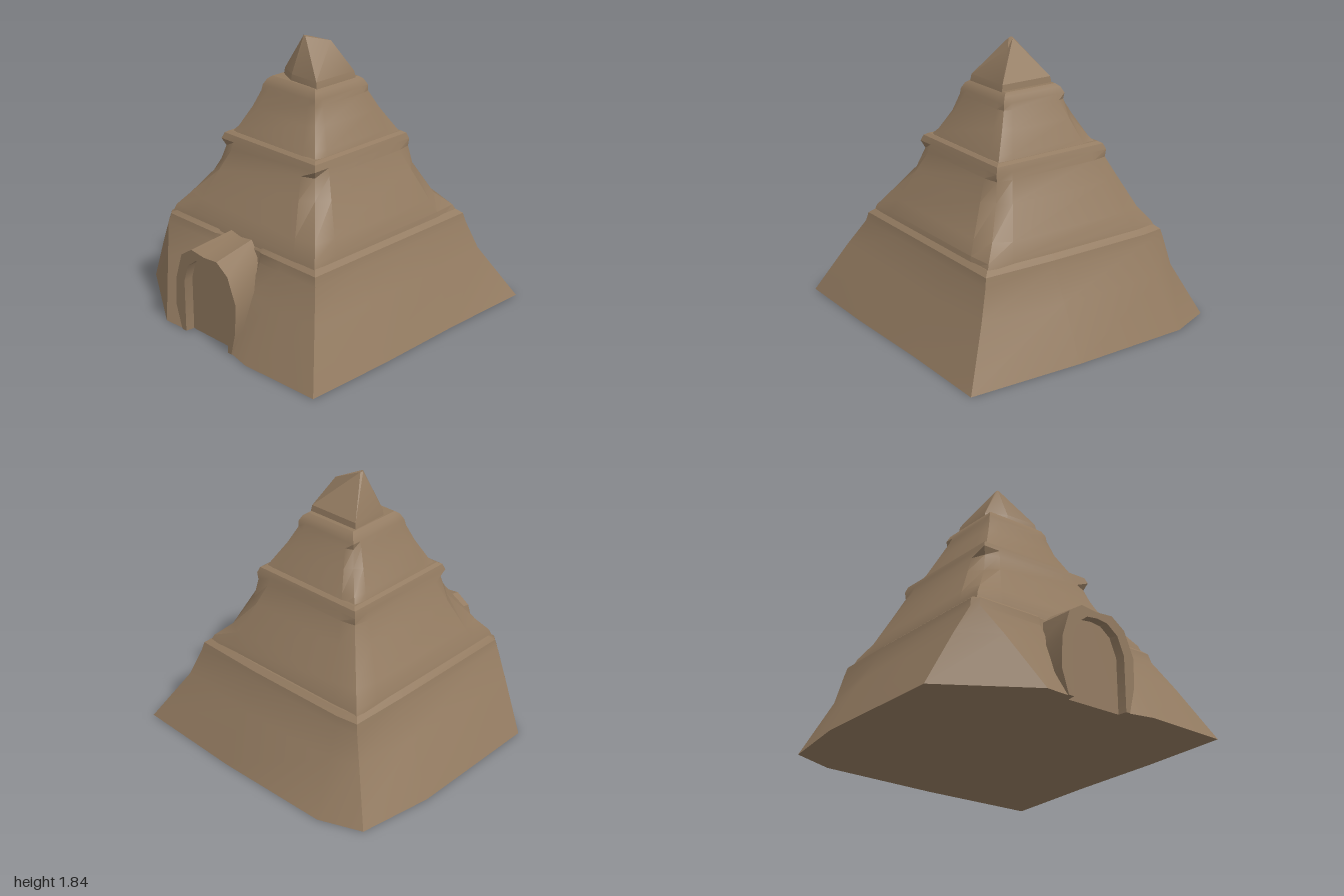
import * as THREE from 'three';
import { toCreasedNormals } from 'three/addons/utils/BufferGeometryUtils.js';

const V = (x, y, z) => new THREE.Vector3(x, y, z);

// Skin closed rings (counter-clockwise from above) and cap both ends
function loft(rings) {
  const n = rings[0].length, pos = [], index = [];
  rings.forEach(r => r.forEach(p => pos.push(p.x, p.y, p.z)));
  for (let k = 0; k < rings.length - 1; k++) {
    for (let i = 0; i < n; i++) {
      const a = k * n + i, b = k * n + (i + 1) % n;
      index.push(a, b, b + n, a, b + n, a + n);
    }
  }
  const centre = r => r.reduce((s, p) => s.add(p), V(0, 0, 0)).divideScalar(n);
  const c0 = centre(rings[0]), c1 = centre(rings[rings.length - 1]);
  const low = rings.length * n, top = (rings.length - 1) * n;
  pos.push(c0.x, c0.y, c0.z, c1.x, c1.y, c1.z);
  for (let i = 0; i < n; i++) {
    const j = (i + 1) % n;
    index.push(low, j, i, low + 1, top + i, top + j);
  }
  const g = new THREE.BufferGeometry();
  g.setAttribute('position', new THREE.Float32BufferAttribute(pos, 3));
  g.setIndex(index);
  return toCreasedNormals(g, 0.5);
}

// Square ring with worn corners: pull is how far each corner is eaten away
function squareRing([y, h, pull]) {
  const pts = [], c = h * 0.72;
  for (let k = 0; k < 4; k++) {
    const wear = pull * (1 + 0.5 * Math.sin(k * 2.3 + y * 7));
    for (const [x, z] of [[c, h], [h - wear, h - wear], [h, c]]) {
      const a = k * Math.PI / 2, s = Math.round(Math.sin(a)), co = Math.round(Math.cos(a));
      pts.push(V(x * co + z * s, y, z * co - x * s - 0.01));
    }
  }
  return pts;
}

export function createModel() {
  const group = new THREE.Group();
  const stone = new THREE.MeshStandardMaterial({ color: 0x927a60 });
  stone.name = 'sandstone';
  const add = (name, geometry) => {
    const m = new THREE.Mesh(geometry, stone);
    m.name = name;
    group.add(m);
    return m;
  };

  // Base: uneven footprint (x, z) rising to a squarer shoulder (x, z)
  const base = [
    [0.98, 0.98, 0.715, 0.70], [0.99, 0.36, 0.715, 0.3], [0.98, -0.3, 0.715, -0.3],
    [0.99, -0.96, 0.715, -0.72], [0.2, -1, 0.2, -0.74], [-0.63, -1, -0.55, -0.74],
    [-0.92, -0.89, -0.71, -0.72], [-1, -0.38, -0.72, -0.3], [-0.99, 0.59, -0.72, 0.66],
    [-0.4, 0.97, -0.68, 0.70], [-0.22, 0.96, -0.22, 0.70], [-0.2, 0.9, -0.2, 0.69],
    [0.2, 0.9, 0.2, 0.69], [0.22, 0.96, 0.22, 0.70], [0.4, 1, 0.4, 0.70],
  ];
  const baseRing = (y, t, s = 1, corner = 1) => base.map(([x0, z0, x1, z1], i) => {
    const k = s * (i === 3 || i === 6 ? corner : 1);
    return V((x0 + (x1 - x0) * t) * k, y, (z0 + (z1 - z0) * t) * k);
  });
  add('baseTier', loft([
    baseRing(0, 0), baseRing(0.35, 0.63, 1, 0.96), baseRing(0.54, 1),
    baseRing(0.6, 1, 0.98), baseRing(0.63, 1, 0.93),
  ]));

  // Upper tiers: rows of height, half width, corner wear
  const tiers = {
    middleTier: [[0.6, 0.675, 0], [0.66, 0.66, 0.01], [0.75, 0.615, 0.04], [0.95, 0.515, 0.05],
      [1.08, 0.45, 0.025], [1.13, 0.435, 0], [1.17, 0.42, 0], [1.185, 0.395, 0]],
    upperTier: [[1.15, 0.405, 0], [1.22, 0.375, 0.02], [1.35, 0.31, 0.03],
      [1.46, 0.255, 0.015], [1.5, 0.24, 0], [1.54, 0.22, 0], [1.56, 0.195, 0]],
  };
  for (const [name, rows] of Object.entries(tiers)) add(name, loft(rows.map(squareRing)));

  // Capstone with a short tilted ridge
  const foot = [[0.205, 0.185], [0.205, -0.18], [-0.195, -0.18], [-0.185, 0.1], [-0.04, 0.175]];
  add('capstone', loft([
    foot.map(([x, z]) => V(x, 1.53, z)),
    foot.map(([x, z]) => V(x * 0.94, 1.6, z * 0.94)),
    [V(-0.02, 1.832, 0.06), V(0.08, 1.8, -0.07), V(-0.035, 1.832, 0.035),
      V(-0.045, 1.835, 0.05), V(-0.035, 1.837, 0.06)],
  ]));

  // Arched surround, narrower and a little higher where it meets the slope
  const outer = [[0.24, 0], [0.28, 0.16], [0.29, 0.36], [0.22, 0.53], [0.12, 0.6], [0, 0.59],
    [-0.12, 0.605], [-0.22, 0.54], [-0.28, 0.36], [-0.29, 0.16], [-0.24, 0]];
  const inner = [[-0.2, 0], [-0.2, 0.36], [-0.16, 0.48], [-0.08, 0.54], [0, 0.55],
    [0.08, 0.54], [0.16, 0.48], [0.21, 0.36], [0.21, 0]];
  const arch = new THREE.Shape([...outer, ...inner].map(p => new THREE.Vector2(...p)));
  const surround = new THREE.ExtrudeGeometry(arch, { depth: 0.35, bevelEnabled: false });
  const p = surround.attributes.position;
  for (let i = 0; i < p.count; i++) {
    const back = 1 - p.getZ(i) / 0.35;
    p.setX(i, p.getX(i) * (1 - 0.22 * back));
    p.setY(i, p.getY(i) * (1 + 0.08 * back));
  }
  surround.translate(0, 0, 0.62);
  surround.deleteAttribute('normal');
  surround.deleteAttribute('uv');
  add('doorSurround', toCreasedNormals(surround, 0.6));

  // Blocked doorway set back inside the arch
  const panel = new THREE.Shape(inner.map(q => new THREE.Vector2(...q)));
  add('door', new THREE.ExtrudeGeometry(panel, { depth: 0.25, bevelEnabled: false }))
    .position.z = 0.66;

  return group;
}
